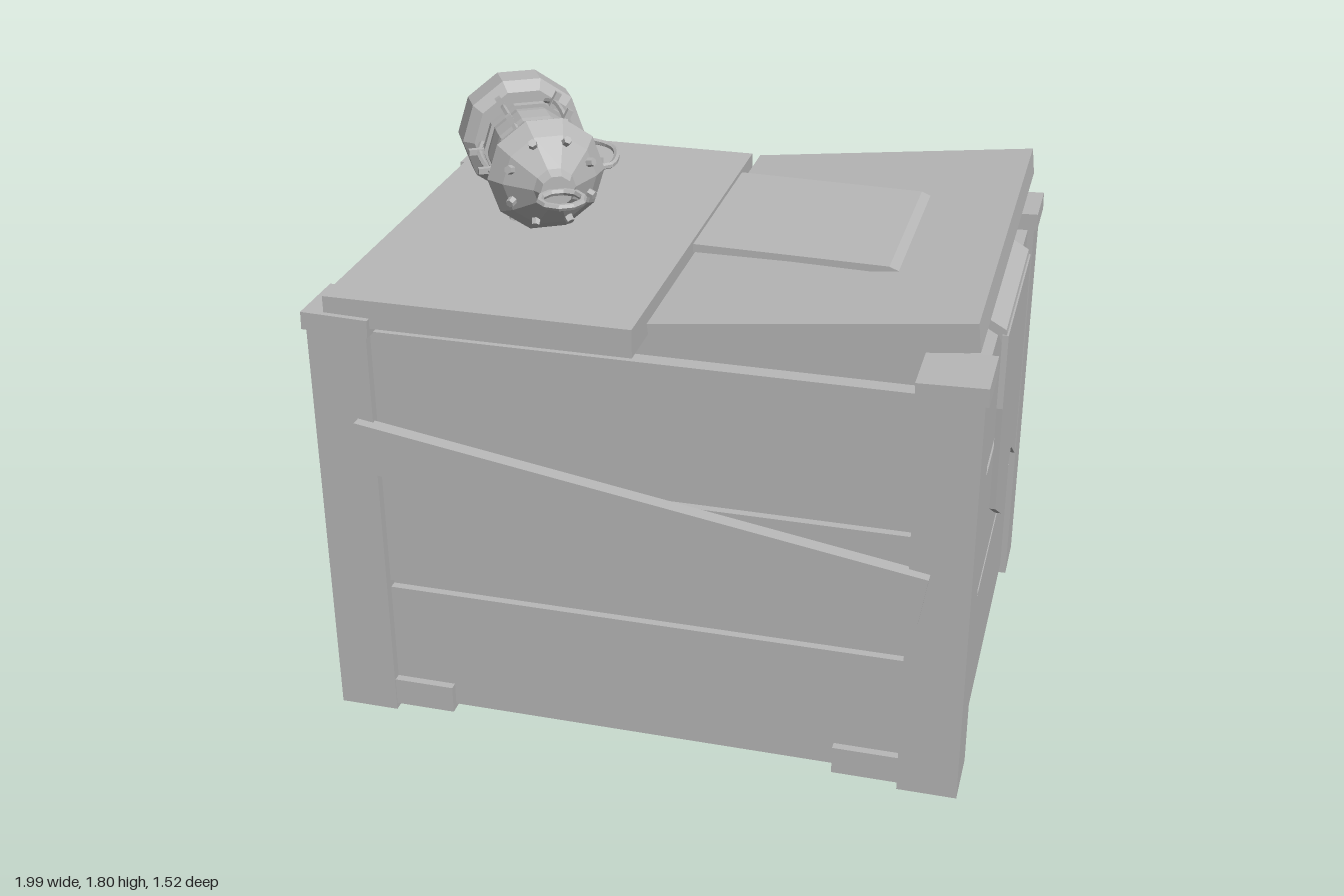
import * as THREE from 'three';

const grey = new THREE.MeshStandardMaterial({ color: 0xb8b8b8, flatShading: true });
grey.name = 'plain grey';

function add(parent, name, geometry, x = 0, y = 0, z = 0) {
  const mesh = new THREE.Mesh(geometry, grey);
  mesh.name = name;
  mesh.position.set(x, y, z);
  parent.add(mesh);
  return mesh;
}

// Box given by its lower and upper limits on each axis
function slab(parent, name, [x0, x1], [y0, y1], [z0, z1]) {
  const g = new THREE.BoxGeometry(x1 - x0, y1 - y0, z1 - z0);
  return add(parent, name, g, (x0 + x1) / 2, (y0 + y1) / 2, (z0 + z1) / 2);
}

const polygon = (pts) => new THREE.Shape(pts.map(([x, y]) => new THREE.Vector2(x, y)));

function buildCrate() {
  const crate = new THREE.Group();
  crate.name = 'crate';

  // Three planks on each side, with thin boards closing the gaps behind them
  for (const [y0, y1] of [[0.04, 0.445], [0.47, 0.865], [0.9, 1.315]]) {
    slab(crate, 'frontPlank', [-0.85, 0.85], [y0, y1], [0.65, 0.7]);
    slab(crate, 'backPlank', [-0.85, 0.85], [y0, y1], [-0.72, -0.67]);
    for (const s of [-1, 1]) {
      const x = s * 0.935;
      slab(crate, 'sidePlank', [x - 0.025, x + 0.025], [y0, y1], [-0.65, 0.63]);
    }
  }
  slab(crate, 'frontLining', [-0.9, 0.9], [0.06, 1.3], [0.635, 0.675]);
  slab(crate, 'backLining', [-0.9, 0.9], [0.06, 1.3], [-0.695, -0.655]);
  for (const x of [-0.925, 0.895]) slab(crate, 'sideLining', [x, x + 0.03], [0.06, 1.3], [-0.66, 0.64]);
  slab(crate, 'floor', [-0.94, 0.94], [0.05, 0.1], [-0.69, 0.67]);

  // Corner posts with caps
  for (const s of [-1, 1]) {
    for (const [z0, z1] of [[0.54, 0.73], [-0.75, -0.565]]) {
      const xs = s < 0 ? [-0.985, -0.8] : [0.8, 0.98];
      slab(crate, 'cornerPost', xs, [0.005, 1.33], [z0, z1]);
      const cap = slab(crate, 'postCap', [xs[0] - 0.01, xs[1] + 0.01], [1.315, 1.37], [z0 - 0.01, z1 + 0.01]);
      cap.rotation.z = s * 0.03;
    }
    // Floor runners whose ends show at front and back
    slab(crate, 'floorRunner', s < 0 ? [-0.82, -0.61] : [0.6, 0.81], [0.025, 0.115], [-0.745, 0.725]);
  }

  // Board nailed slantwise across the front
  const brace = add(crate, 'diagonalBoard', new THREE.BoxGeometry(1.73, 0.155, 0.045), -0.005, 0.828, 0.739);
  brace.rotation.z = -0.158;

  // Two lid halves, one propped open at its outer edge
  slab(crate, 'closedLid', [-0.93, -0.005], [1.335, 1.422], [-0.757, 0.722]);
  const lid = add(crate, 'raisedLid', new THREE.BoxGeometry(0.925, 0.085, 1.42), 0.487, 1.43, -0.045);
  lid.rotation.set(0, 0, 0.115);
  return crate;
}

function buildCloth() {
  const cloth = new THREE.Group();
  cloth.name = 'cloth';
  // Ribbon lying on the lid and dipping over the rim
  const ribbon = polygon([
    [0.06, 1.49], [0.35, 1.49], [0.63, 1.483], [0.86, 1.385], [0.965, 1.325], [0.975, 1.3],
    [0.993, 1.3], [0.985, 1.345], [0.87, 1.41], [0.64, 1.505], [0.35, 1.51], [0.06, 1.515],
  ]);
  add(cloth, 'foldedCloth', new THREE.ExtrudeGeometry(ribbon, { depth: 0.62, bevelEnabled: false }), 0, 0, -0.325);
  // Hanging end with a notched hem, drawn in (-z, y)
  const hanging = polygon([
    [-0.3, 1.33], [-0.312, 1.1], [-0.287, 0.75], [-0.065, 0.61],
    [0.15, 0.735], [0.335, 0.615], [0.335, 0.9], [0.322, 1.33],
  ]);
  const flap = add(cloth, 'hangingCloth', new THREE.ExtrudeGeometry(hanging, { depth: 0.018, bevelEnabled: false }), 0.975);
  flap.rotation.y = Math.PI / 2;
  return cloth;
}

// Lantern, built upright along y and then laid on its side
function buildLantern() {
  const lantern = new THREE.Group();
  lantern.name = 'lantern';
  const turned = (name, pts) => add(lantern, name,
    new THREE.LatheGeometry(pts.map(([r, y]) => new THREE.Vector2(r, y)), 10, Math.PI / 10));

  turned('lanternBase', [[0, 0], [0.18, 0], [0.197, 0.025], [0.197, 0.12], [0.165, 0.15], [0, 0.15]]);
  turned('lanternBody', [[0.115, 0.14], [0.132, 0.2], [0.143, 0.27], [0.143, 0.34], [0.132, 0.41], [0.115, 0.48]]);
  for (const y of [0.225, 0.4]) {
    turned('bodyBand', [[0.12, y - 0.012], [0.15, y - 0.012], [0.15, y + 0.012], [0.12, y + 0.012]]);
  }
  turned('lanternCap', [[0, 0.46], [0.175, 0.46], [0.182, 0.48], [0.145, 0.535], [0.065, 0.61], [0.05, 0.64], [0, 0.64]]);

  // Six bowed guard rods, each with two pegs, and studs round the cap
  for (let i = 0; i < 6; i++) {
    const side = new THREE.Group();
    side.name = 'guard';
    side.rotation.y = i * Math.PI / 3;
    const bow = new THREE.CatmullRomCurve3([[0.135, 0.13], [0.162, 0.22], [0.168, 0.31], [0.162, 0.4], [0.14, 0.475]]
      .map(([r, y]) => new THREE.Vector3(r, y, 0)));
    add(side, 'guardRod', new THREE.TubeGeometry(bow, 8, 0.009, 5));
    for (const y of [0.225, 0.4]) {
      add(side, 'guardPeg', new THREE.BoxGeometry(0.075, 0.018, 0.018), 0.158, y);
    }
    lantern.add(side);
  }
  for (let i = 0; i < 8; i++) {
    const a = (i + 0.5) * Math.PI / 4;
    const stud = add(lantern, 'capStud', new THREE.CylinderGeometry(0.013, 0.016, 0.04, 6),
      0.128 * Math.cos(a), 0.547, 0.128 * Math.sin(a));
    stud.quaternion.setFromUnitVectors(new THREE.Vector3(0, 1, 0),
      new THREE.Vector3(Math.cos(a), 1, Math.sin(a)).normalize());
  }

  // Side handle and hanging ring
  const arc = new THREE.CatmullRomCurve3([[0.16, 0.205], [0.215, 0.235], [0.252, 0.31], [0.238, 0.4], [0.205, 0.46], [0.18, 0.465]]
    .map(([x, y]) => new THREE.Vector3(x, y, 0)));
  add(lantern, 'sideHandle', new THREE.TubeGeometry(arc, 12, 0.01, 6));
  add(lantern, 'hangingRing', new THREE.TorusGeometry(0.066, 0.011, 6, 10), 0, 0.705, 0);

  const axis = new THREE.Vector3(0.5, 0, 0.866).normalize();
  const across = new THREE.Vector3(0.866, 0, -0.5).normalize();
  lantern.setRotationFromMatrix(new THREE.Matrix4().makeBasis(across, axis, new THREE.Vector3(0, -1, 0)));
  lantern.position.set(-0.695, 1.613, -0.32);
  return lantern;
}

export function createModel() {
  const model = new THREE.Group();
  model.name = 'crateWithLantern';
  model.add(buildCrate(), buildCloth(), buildLantern());
  return model;
}
